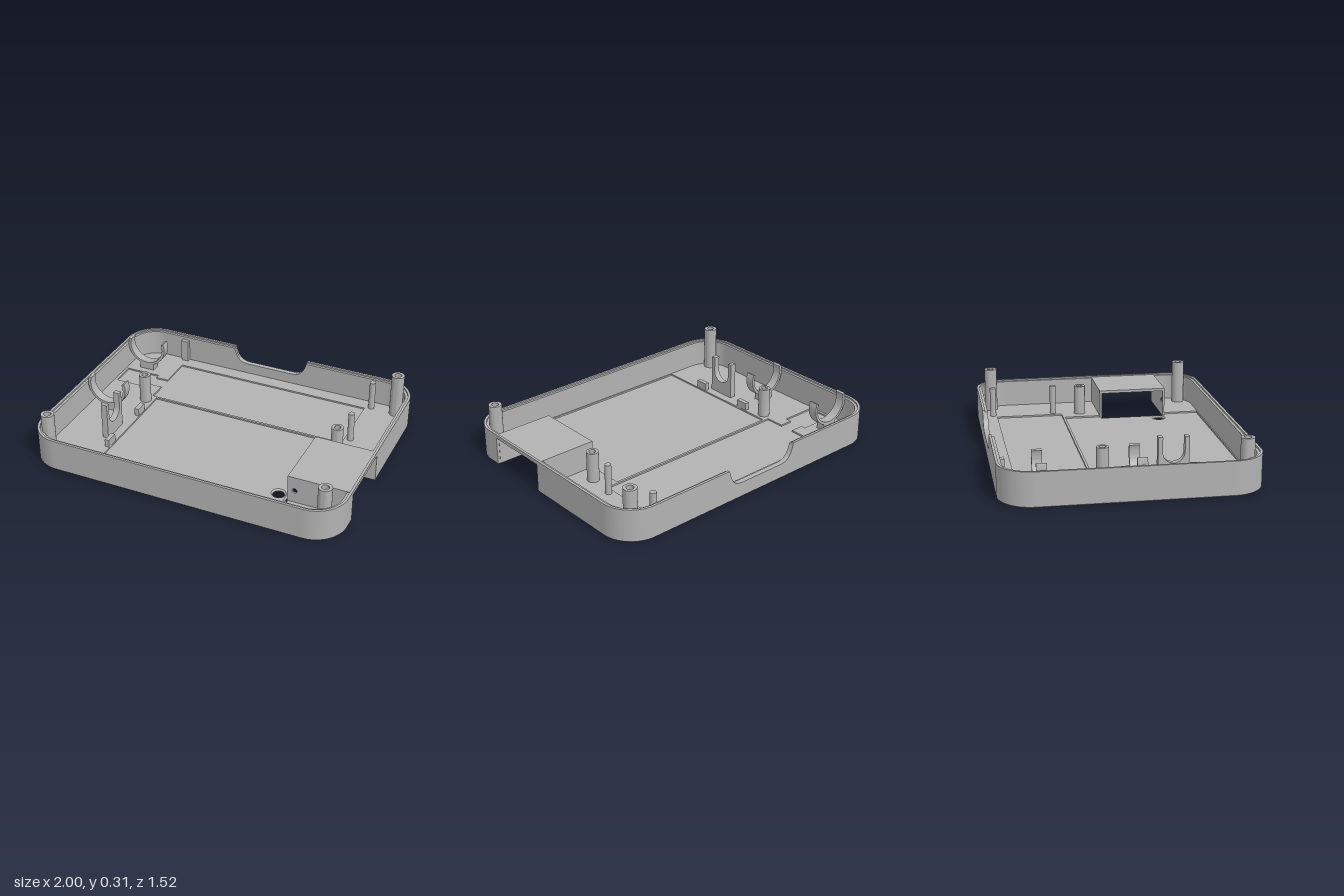
import * as THREE from 'three';
import { toCreasedNormals } from 'three/addons/utils/BufferGeometryUtils.js';

const HX = 1, HZ = 0.76, R = 0.2, Y0 = 0.008, FLOOR = 0.03;

export function createModel() {
  const model = new THREE.Group();
  const grey = new THREE.MeshStandardMaterial({ color: 0xb2b2b2 });
  grey.name = 'grey plastic';

  const add = (name, geo) => {
    const mesh = new THREE.Mesh(geo, grey);
    mesh.name = name;
    model.add(mesh);
    return mesh;
  };
  const poly = (pts) => new THREE.Shape(pts.map(([x, y]) => new THREE.Vector2(x, y)));
  const plan = (pts) => poly(pts.map(([x, z]) => [x, -z]));
  const extrude = (shape, depth, opts = {}) => toCreasedNormals(
    new THREE.ExtrudeGeometry(shape, { depth, bevelEnabled: false, curveSegments: 16, ...opts }), 0.6);
  // plan shape raised along y / side elevation (z, y) thickened towards -x
  const rise = (shape, y, h, opts) => extrude(shape, h, opts).rotateX(-Math.PI / 2).translate(0, y, 0);
  const side = (shape, x, t) => extrude(shape, t).rotateY(-Math.PI / 2).translate(x, 0, 0);
  const box = (name, x0, x1, y0, y1, z0, z1) => add(name,
    new THREE.BoxGeometry(x1 - x0, y1 - y0, z1 - z0)
      .translate((x0 + x1) / 2, (y0 + y1) / 2, (z0 + z1) / 2));
  const circle = (x, y, r) => new THREE.Path().absarc(x, y, r, 0, Math.PI * 2, true);

  // Rounded tray outline, with a cut let into its right side
  const outline = (inset, cut) => {
    const s = new THREE.Shape(), cx = HX - R, cz = HZ - R, r = R - inset;
    s.moveTo(HX - inset, -cz);
    cut.forEach(([x, z]) => s.lineTo(x, -z));
    s.lineTo(HX - inset, cz);
    s.absarc(cx, cz, r, 0, Math.PI / 2);
    s.absarc(-cx, cz, r, Math.PI / 2, Math.PI);
    s.absarc(-cx, -cz, r, Math.PI, Math.PI * 1.5);
    s.absarc(cx, -cz, r, Math.PI * 1.5, Math.PI * 2);
    return s;
  };

  // Base plate with bevelled edge, connector cut-out and round hole
  const base = outline(0.01, [[0.99, 0.495], [0.58, 0.495], [0.58, 0.055], [0.99, 0.055]]);
  base.holes.push(circle(0.53, -0.44, 0.045));
  add('basePlate', rise(base, 0.008, 0.004, {
    bevelEnabled: true, bevelThickness: 0.008, bevelSize: 0.01, bevelSegments: 1,
  }));

  // Raised floor layer that leaves the shallow recesses open
  const layer = outline(0.02, [[0.98, 0.49], [0.61, 0.49], [0.61, 0.72], [-0.6, 0.72],
    [-0.6, -0.185], [0.61, -0.185], [0.61, 0.055], [0.98, 0.055]]);
  layer.holes.push(plan([[-0.635, -0.635], [0.69, -0.635], [0.69, -0.2], [-0.635, -0.2],
    [-0.635, -0.32], [-0.72, -0.32], [-0.72, -0.28], [-0.95, -0.28], [-0.95, -0.445],
    [-0.72, -0.445], [-0.72, -0.415], [-0.635, -0.415]]));
  add('floorLayer', rise(layer, 0.02, FLOOR - 0.02));

  // Walls: a tall outer lip and a lower inner ledge
  const buildWall = (name, a, b, top) => {
    const cx = HX - R, cz = HZ - R, t = b - a;
    [[1, -1], [-1, -1], [-1, 1], [1, 1]].forEach(([sx, sz], k) => {
      const s = new THREE.Shape();
      s.absarc(0, 0, R - a, 0, Math.PI / 2);
      s.absarc(0, 0, R - b, Math.PI / 2, 0, true);
      add(name + 'Corner', rise(s, Y0, top - Y0).rotateY(k * Math.PI / 2).translate(sx * cx, 0, sz * cz));
    });
    box(name + 'Front', -cx, cx, Y0, top, HZ - b, HZ - a);
    box(name + 'Left', -HX + a, -HX + b, Y0, top, -cz, cz);
    add(name + 'Right', side(poly([[-cz, Y0], [0.065, Y0], [0.065, 0.185], [0.485, 0.185],
      [0.485, Y0], [cz, Y0], [cz, top], [-cz, top]]), HX - a, t));
    // back wall with a scooped finger notch
    const s = new THREE.Shape();
    s.moveTo(-cx, Y0);
    s.lineTo(cx, Y0);
    s.lineTo(cx, top);
    s.lineTo(0.24, top);
    s.bezierCurveTo(0.22, 0.13, 0.2, 0.1, 0.13, 0.1);
    s.lineTo(-0.17, 0.1);
    s.bezierCurveTo(-0.24, 0.1, -0.26, 0.13, -0.28, top);
    s.lineTo(-cx, top);
    add(name + 'Back', extrude(s, t).translate(0, 0, -HZ + a));
  };
  buildWall('wallLip', 0, 0.016, 0.21);
  buildWall('wallLedge', 0.016, 0.033, 0.2);

  // Connector housing: roof and two cheeks, open inwards
  box('housingRoof', 0.605, 0.984, 0.185, 0.203, 0.05, 0.495);
  box('housingBackCheek', 0.605, 0.984, Y0, 0.185, 0.05, 0.065);
  const cheek = poly([[0.605, Y0], [0.984, Y0], [0.984, 0.185], [0.605, 0.185]]);
  cheek.holes.push(circle(0.65, 0.11, 0.016));
  add('housingFrontCheek', extrude(cheek, 0.012).translate(0, 0, 0.483));

  // Screw bosses and locating pegs
  const tube = (name, x, z, r, hole, top) => {
    const s = new THREE.Shape().absarc(0, 0, r, 0, Math.PI * 2);
    s.holes.push(circle(0, 0, hole));
    add(name, rise(s, 0.02, top - 0.02).translate(x, 0, z));
  };
  [[0.89, -0.66], [0.89, 0.65], [-0.9, 0.65]].forEach(([x, z]) => tube('cornerBoss', x, z, 0.041, 0.022, 0.315));
  [[-0.655, -0.137], [0.7, -0.075]].forEach(([x, z]) => tube('innerBoss', x, z, 0.037, 0.02, 0.222));
  for (const z of [-0.66, -0.255]) {
    add('peg', new THREE.CylinderGeometry(0.02, 0.02, 0.2, 24).translate(0.727, 0.122, z));
  }

  // Curved cradles along the left wall
  for (const [x, z] of [[-0.832, -0.522], [-0.825, 0.038]]) {
    const s = new THREE.Shape();
    s.absarc(0, 0, 0.135, Math.PI - 0.34, Math.PI * 2 + 0.34);
    s.absarc(0, 0, 0.118, Math.PI * 2 + 0.34, Math.PI - 0.34, true);
    add('cradle', extrude(s, 0.06, { curveSegments: 32 }).translate(x, 0.2, z - 0.03));
    box('cradleFoot', x - 0.05, x + 0.05, 0.02, 0.078, z - 0.03, z + 0.03);
  }

  // U-shaped stand
  const u = new THREE.Shape();
  u.moveTo(0.18, 0.02);
  u.lineTo(0.365, 0.02);
  u.lineTo(0.365, 0.27);
  u.lineTo(0.338, 0.27);
  u.lineTo(0.338, 0.178);
  u.absarc(0.273, 0.178, 0.065, 0, -Math.PI, true);
  u.lineTo(0.208, 0.27);
  u.lineTo(0.18, 0.27);
  add('forkStand', side(u, -0.655, 0.04));

  // Small stops and the back rib
  for (const z of [0.02, 0.41]) box('stop', -0.632, -0.602, 0.02, 0.08, z - 0.04, z + 0.04);
  box('backRib', -0.67, -0.62, 0.02, 0.18, -0.735, -0.7);

  return model;
}
